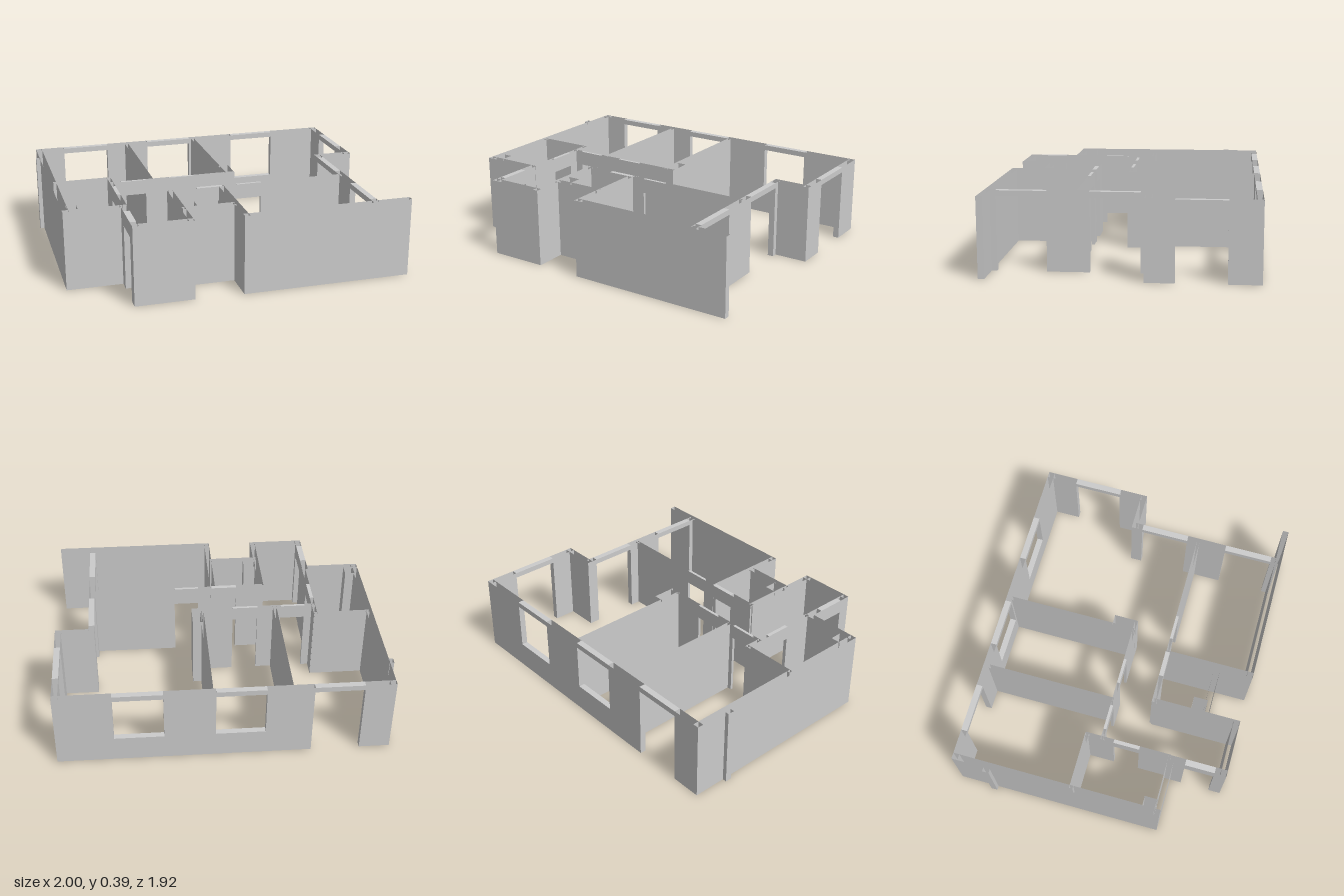
import * as THREE from 'three';

const H = 0.387;      // wall height
const OUT = 0.03;     // outer wall thickness
const IN = 0.018;     // partition thickness
const HEAD = 0.36;    // top of windows and balcony doors
const DOOR = 0.315;   // top of inner doors
const mat = new THREE.MeshStandardMaterial({ color: 0xcccccc, side: THREE.DoubleSide, flatShading: true });

// Plan coordinates: q runs across the flat, p runs towards the balcony side.
function block(parent, name, q0, q1, p0, p1, y0, y1, capped) {
  const geo = new THREE.BoxGeometry(q1 - q0, y1 - y0, p1 - p0);
  if (!capped) {
    // full-height walls are open at top and bottom
    const idx = Array.from(geo.index.array);
    geo.setIndex([...idx.slice(0, 12), ...idx.slice(24)]);
    geo.clearGroups();
  }
  const mesh = new THREE.Mesh(geo, mat);
  mesh.name = name;
  mesh.position.set((q0 + q1) / 2, (y0 + y1) / 2, -(p0 + p1) / 2);
  parent.add(mesh);
}

// Straight wall along 'p' or 'q', with openings [centre, width, sill, head] in order.
function wall(parent, name, axis, at, from, to, t, openings = []) {
  const g = new THREE.Group();
  g.name = name;
  const piece = (label, a, b, y0, y1, capped) => {
    if (axis === 'p') block(g, label, at - t / 2, at + t / 2, a, b, y0, y1, capped);
    else block(g, label, a, b, at - t / 2, at + t / 2, y0, y1, capped);
  };
  let start = from;
  for (const [c, w, sill, head] of openings) {
    const a = c - w / 2, b = c + w / 2;
    if (a > start + 0.001) piece('wallPanel', start, a, 0, H, false);
    piece('lintel', a, b, head, H, true);
    if (sill > 0) piece('sill', a, b, 0, sill, true);
    start = b;
  }
  if (to > start + 0.001) piece('wallPanel', start, to, 0, H, false);
  parent.add(g);
}

export function createModel() {
  const model = new THREE.Group();
  model.name = 'apartmentWalls';
  const plan = new THREE.Group();
  plan.name = 'floorPlan';
  plan.rotation.y = -0.625;
  model.add(plan);

  // Outer walls
  wall(plan, 'windowWall', 'p', -0.594, -0.87, 0.748, OUT,
    [[-0.602, 0.238, 0, HEAD], [-0.138, 0.24, 0.13, HEAD], [0.349, 0.24, 0.13, HEAD]]);
  wall(plan, 'sideWall', 'q', -0.855, -0.609, 0.425, OUT);
  wall(plan, 'entrySideWall', 'p', 0.41, -0.87, -0.6, OUT);
  wall(plan, 'entryWall', 'q', -0.585, 0.395, 0.687, OUT, [[0.555, 0.147, 0, DOOR]]);
  wall(plan, 'hallEndWall', 'p', 0.672, -0.6, -0.315, OUT);
  wall(plan, 'hallReturnWall', 'q', -0.328, 0.255, 0.687, 0.026);
  wall(plan, 'bathroomOuterWall', 'p', 0.516, -0.33, -0.075, OUT);
  wall(plan, 'bedroomEndWall', 'q', -0.07, 0.247, 0.695, 0.026);
  wall(plan, 'longOuterWall', 'p', 0.68, -0.083, 0.743, OUT);
  wall(plan, 'balconyWall', 'q', 0.567, -0.085, 0.68, OUT,
    [[0.077, 0.24, 0, HEAD], [0.52, 0.24, 0, HEAD]]);
  wall(plan, 'balconyReturnWall', 'p', -0.085, 0.552, 0.748, OUT);
  wall(plan, 'livingBayWall', 'q', 0.733, -0.609, -0.07, OUT, [[-0.332, 0.24, 0, HEAD]]);

  // Partitions
  wall(plan, 'firstDivider', 'q', -0.375, -0.58, 0.062, IN);
  wall(plan, 'secondDivider', 'q', 0.003, -0.58, 0.062, IN);
  wall(plan, 'corridorWall', 'p', 0.062, -0.585, 0.055, 0.014,
    [[-0.468, 0.125, 0, DOOR], [-0.222, 0.128, 0, DOOR]]);
  wall(plan, 'storeWall', 'p', -0.015, -0.855, -0.57, IN);
  wall(plan, 'storeDoorWall', 'q', -0.577, -0.022, 0.405, IN, [[0.185, 0.128, 0, DOOR]]);
  wall(plan, 'bathroomDoorWall', 'p', 0.256, -0.335, -0.06, 0.022, [[-0.129, 0.13, 0, DOOR]]);
  wall(plan, 'bedroomDoorWall', 'p', 0.255, -0.06, 0.565, 0.014, [[0.071, 0.125, 0, DOOR]]);

  // Pipe shafts and the small outside pilaster
  block(plan, 'corridorShaft', -0.05, 0.07, 0.003, 0.055, 0, H, false);
  block(plan, 'bathroomShaft', 0.44, 0.51, -0.318, -0.255, 0, H, false);
  block(plan, 'storeShaft', 0.335, 0.4, -0.845, -0.795, 0, H, false);
  block(plan, 'outerPilaster', -0.447, -0.415, -0.89, -0.868, 0, H, false);

  return model;
}
